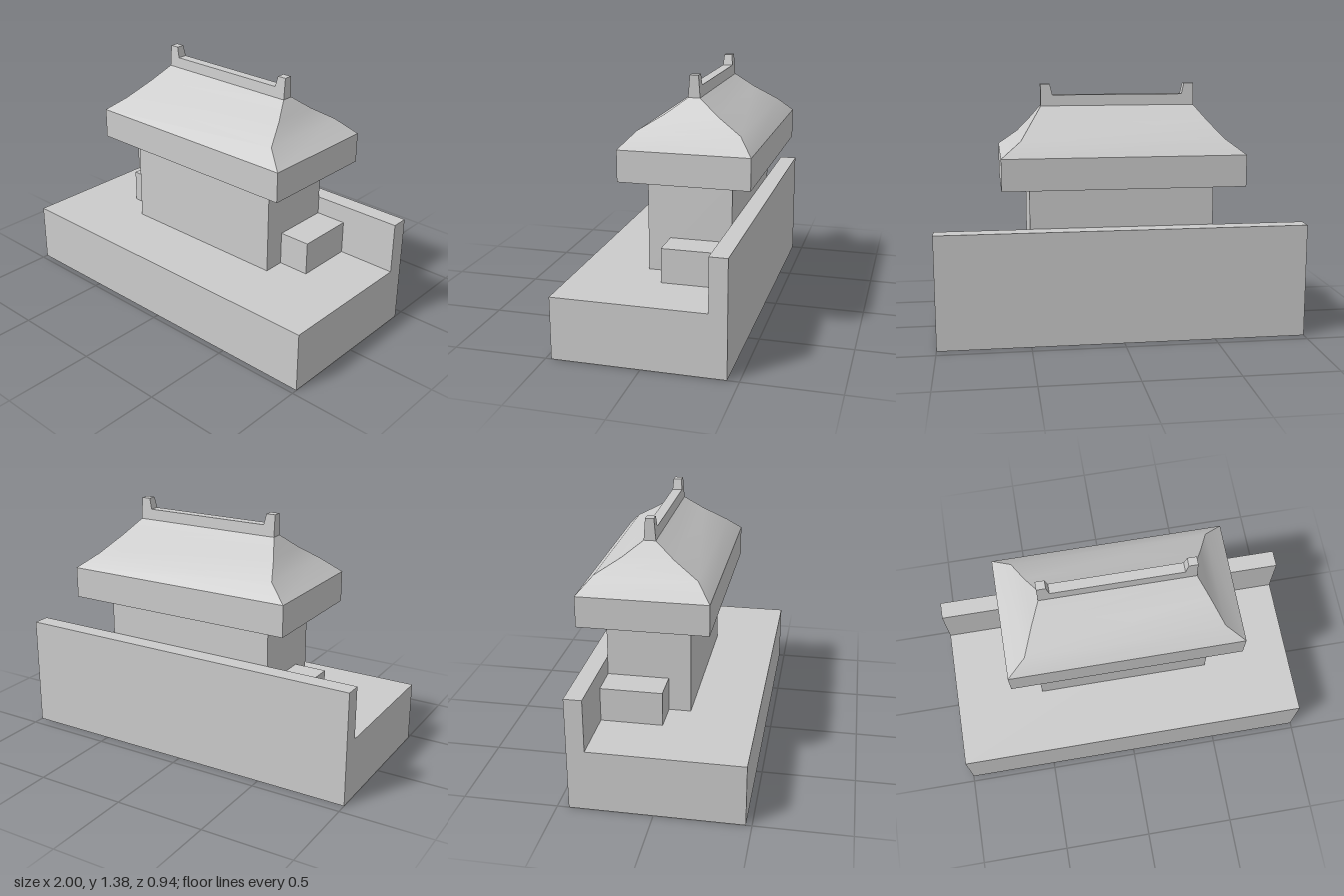
import * as THREE from 'three';

const material = new THREE.MeshStandardMaterial({ color: 0xcccccc, side: THREE.DoubleSide });
const ROOF_Z = -0.121;

// Box given by its limits on each axis
function block(name, [x0, x1], [y0, y1], [z0, z1]) {
  const mesh = new THREE.Mesh(new THREE.BoxGeometry(x1 - x0, y1 - y0, z1 - z0), material);
  mesh.position.set((x0 + x1) / 2, (y0 + y1) / 2, (z0 + z1) / 2);
  mesh.name = name;
  return mesh;
}

// Concave hipped roof: four slopes, each smooth upwards, with sharp hips between them
function hippedRoof() {
  // rings: [height, half width, half depth]
  const rings = [[1.015, 0.643, 0.347], [1.097, 0.537, 0.271], [1.18, 0.474, 0.136], [1.258, 0.418, 0.032]];
  const corners = [[-1, 1], [1, 1], [1, -1], [-1, -1]];
  const positions = [], index = [];
  for (let side = 0; side < 4; side++) {
    const start = positions.length / 3;
    for (const [y, w, d] of rings) {
      for (const [sx, sz] of [corners[side], corners[(side + 1) % 4]]) positions.push(sx * w, y, sz * d);
    }
    for (let i = 0; i < rings.length - 1; i++) {
      const a = start + i * 2;
      index.push(a, a + 1, a + 3, a, a + 3, a + 2);
    }
  }
  const geometry = new THREE.BufferGeometry();
  geometry.setAttribute('position', new THREE.Float32BufferAttribute(positions, 3));
  geometry.setIndex(index);
  geometry.computeVertexNormals();
  const mesh = new THREE.Mesh(geometry, material);
  mesh.position.z = ROOF_Z;
  mesh.name = 'roofSlopes';
  return mesh;
}

// Ridge beam with raised ends, narrowing towards the top
function ridge() {
  const half = [[0.418, 1.258], [0.418, 1.375], [0.368, 1.375], [0.354, 1.316]];
  const outline = [...half, ...half.map(([x, y]) => [-x, y]).reverse()];
  const shape = new THREE.Shape(outline.map(([x, y]) => new THREE.Vector2(x, y)));
  const geometry = new THREE.ExtrudeGeometry(shape, { depth: 2, bevelEnabled: false });
  geometry.translate(0, 0, -1);
  const p = geometry.attributes.position;
  for (let i = 0; i < p.count; i++) {
    const t = (p.getY(i) - 1.258) / 0.117;
    p.setZ(i, p.getZ(i) * THREE.MathUtils.lerp(0.032, 0.023, t));
  }
  geometry.computeVertexNormals();
  const mesh = new THREE.Mesh(geometry, material);
  mesh.position.z = ROOF_Z;
  mesh.name = 'roofRidge';
  return mesh;
}

export function createModel() {
  const model = new THREE.Group();
  model.name = 'gatehouse';

  // Platform and rear parapet
  model.add(block('platform', [-1, 1], [0, 0.335], [-0.439, 0.469]));
  model.add(block('rearWall', [-1, 1], [0.335, 0.622], [-0.439, -0.344]));

  // Hall with a low block on each side
  model.add(block('hall', [-0.495, 0.495], [0.335, 0.847], [-0.344, 0.106]));
  model.add(block('leftSideBlock', [0.495, 0.672], [0.335, 0.521], [-0.344, -0.013]));
  model.add(block('rightSideBlock', [-0.672, -0.495], [0.335, 0.521], [-0.344, -0.013]));

  // Roof
  const roof = new THREE.Group();
  roof.name = 'roof';
  roof.add(block('eaves', [-0.643, 0.643], [0.847, 1.015], [ROOF_Z - 0.347, ROOF_Z + 0.347]));
  roof.add(hippedRoof(), ridge());
  model.add(roof);

  return model;
}
